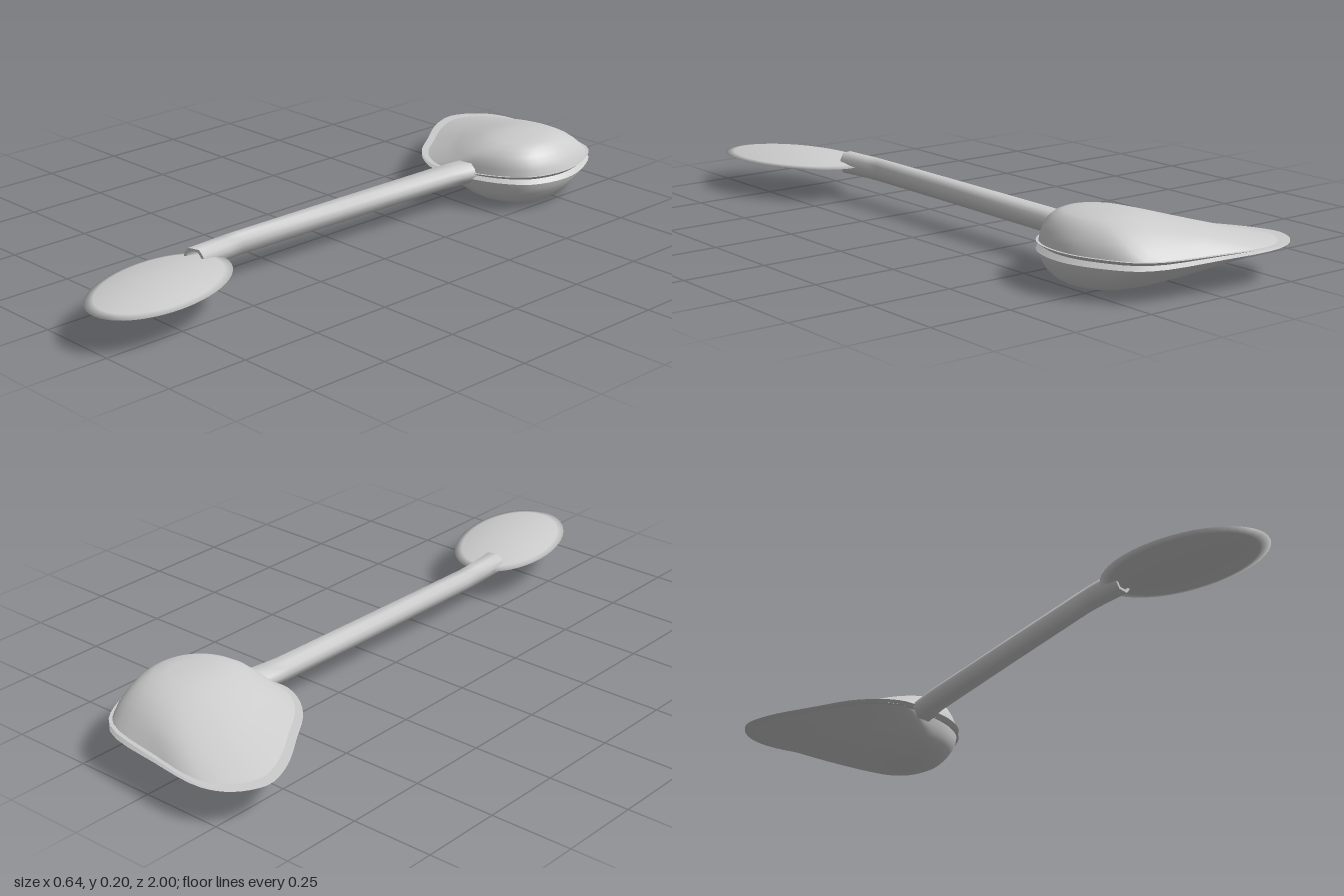
import * as THREE from 'three';

const MID = 0.1; // height of the symmetry plane

// Skin between closed rings of [x, y, z] points
function loft(rings) {
  const n = rings[0].length, index = [];
  for (let i = 0; i < rings.length - 1; i++) {
    for (let j = 0; j < n; j++) {
      const a = i * n + j, b = i * n + (j + 1) % n;
      index.push(a, a + n, b, b, a + n, b + n);
    }
  }
  const g = new THREE.BufferGeometry();
  g.setAttribute('position', new THREE.Float32BufferAttribute(rings.flat(2), 3));
  g.setIndex(index);
  g.computeVertexNormals();
  return g;
}

// Head outline seen from above, scaled into -1..1 on both axes
const outline = new THREE.CatmullRomCurve3([
  [-0.2, -1], [-0.02, -0.985], [0.2, -0.94], [0.28, -0.83], [0.31, -0.71],
  [0.28, -0.59], [0.2, -0.52], [0.08, -0.48], [-0.01, -0.47], [-0.12, -0.53],
  [-0.21, -0.65], [-0.3, -0.79], [-0.325, -0.885], [-0.28, -0.965],
].map(([x, z]) => new THREE.Vector3((x + 0.0075) / 0.3175, 0, (z + 0.735) / 0.265)), true)
  .getPoints(56).slice(0, -1);

// Outline fitted to a box; round = 1 turns it into an ellipse
function headRing(x0, x1, z0, z1, round, height) {
  return outline.map((p) => {
    const k = 1 - round + round / Math.hypot(p.x, p.z);
    const x = (x0 + x1) / 2 + p.x * k * (x1 - x0) / 2;
    const z = (z0 + z1) / 2 + p.z * k * (z1 - z0) / 2;
    return [x, MID + height(x), z];
  });
}

export function createModel() {
  const model = new THREE.Group();
  const grey = new THREE.MeshStandardMaterial({ color: 0xcccccc, side: THREE.DoubleSide });
  grey.name = 'light grey';
  const add = (parent, name, geometry) => {
    const mesh = new THREE.Mesh(geometry, grey);
    mesh.name = name;
    parent.add(mesh);
    return mesh;
  };

  // Head: two mirrored domes with a grooved rim between them
  const head = new THREE.Group();
  head.name = 'head';
  model.add(head);
  const domeLevels = [ // x0, x1, z0, z1, roundness, height
    [-0.18, 0.3, -0.95, -0.495, 0.15, 0.03],
    [-0.115, 0.291, -0.92, -0.508, 0.3, 0.048],
    [-0.05, 0.278, -0.885, -0.525, 0.5, 0.066],
    [0.01, 0.262, -0.845, -0.552, 0.7, 0.082],
    [0.06, 0.24, -0.8, -0.587, 0.9, 0.094],
    [0.1, 0.2, -0.76, -0.65, 1, 0.099],
    [0.145, 0.145, -0.71, -0.71, 1, 0.1],
  ];
  for (const side of [1, -1]) {
    const label = side > 0 ? 'upper' : 'lower';
    const rimHeight = (x) => side * (0.001 + 0.018 * Math.max(0, x + 0.32));
    const build = (rings) => loft(side > 0 ? rings : rings.reverse());
    const rim = () => headRing(-0.325, 0.313, -1, -0.47, 0, rimHeight);
    const base = () => headRing(-0.29, 0.305, -0.985, -0.48, 0, rimHeight);
    const groove = headRing(-0.31, 0.298, -0.985, -0.484, 0, () => 0);
    add(head, label + 'Dome', build([base(),
      ...domeLevels.map(([a, b, c, d, r, h]) => headRing(a, b, c, d, r, () => side * h))]));
    add(head, label + 'Flange', build([rim(), base()]));
    add(head, label + 'Groove', build([groove, rim()]));
  }

  // Handle: hollow faceted tube, slanted and bent at the front end
  const section = [[1, 0], [0.85, 0.5], [0.5, 1], [-0.5, 1], [-0.85, 0.5], [-1, 0],
    [-0.85, -0.5], [-0.5, -1], [0.5, -1], [0.85, -0.5]];
  const stations = [ // z, x0, x1, slant of the ring
    [0.567, 0.05, 0.116, 0.3], [0.45, 0.045, 0.1, 0.12], [0.4, 0.045, 0.097, 0],
    [0, 0.045, 0.107, 0], [-0.4, 0.046, 0.12, 0], [-0.46, 0.047, 0.13, 0],
    [-0.52, 0.05, 0.14, 0],
  ];
  const tube = (scale) => stations.map(([z, x0, x1, slant]) => section.map(([u, v]) => {
    const dx = u * scale * (x1 - x0) / 2;
    return [(x0 + x1) / 2 + dx, 0.104 + v * scale * 0.031, z - slant * dx];
  }));
  const handle = new THREE.Group();
  handle.name = 'handle';
  model.add(handle);
  const outer = tube(1), inner = tube(0.76);
  add(handle, 'handleShell', loft(outer));
  add(handle, 'handleBore', loft([...inner].reverse()));
  add(handle, 'handleEnd', loft([inner[0], outer[0]]));

  // Paddle: thin lens with an oval outline
  const profile = [];
  for (let i = 0; i <= 16; i++) {
    const t = -1 + i / 8;
    profile.push(new THREE.Vector2(1 - Math.abs(t), Math.sign(t) * (1 - (1 - Math.abs(t)) ** 2)));
  }
  const paddle = add(model, 'paddle', new THREE.LatheGeometry(profile, 48));
  paddle.scale.set(0.155, 0.023, 0.261);
  paddle.rotation.y = 0.272;
  paddle.position.set(0.155, 0.101, 0.745);

  return model;
}
